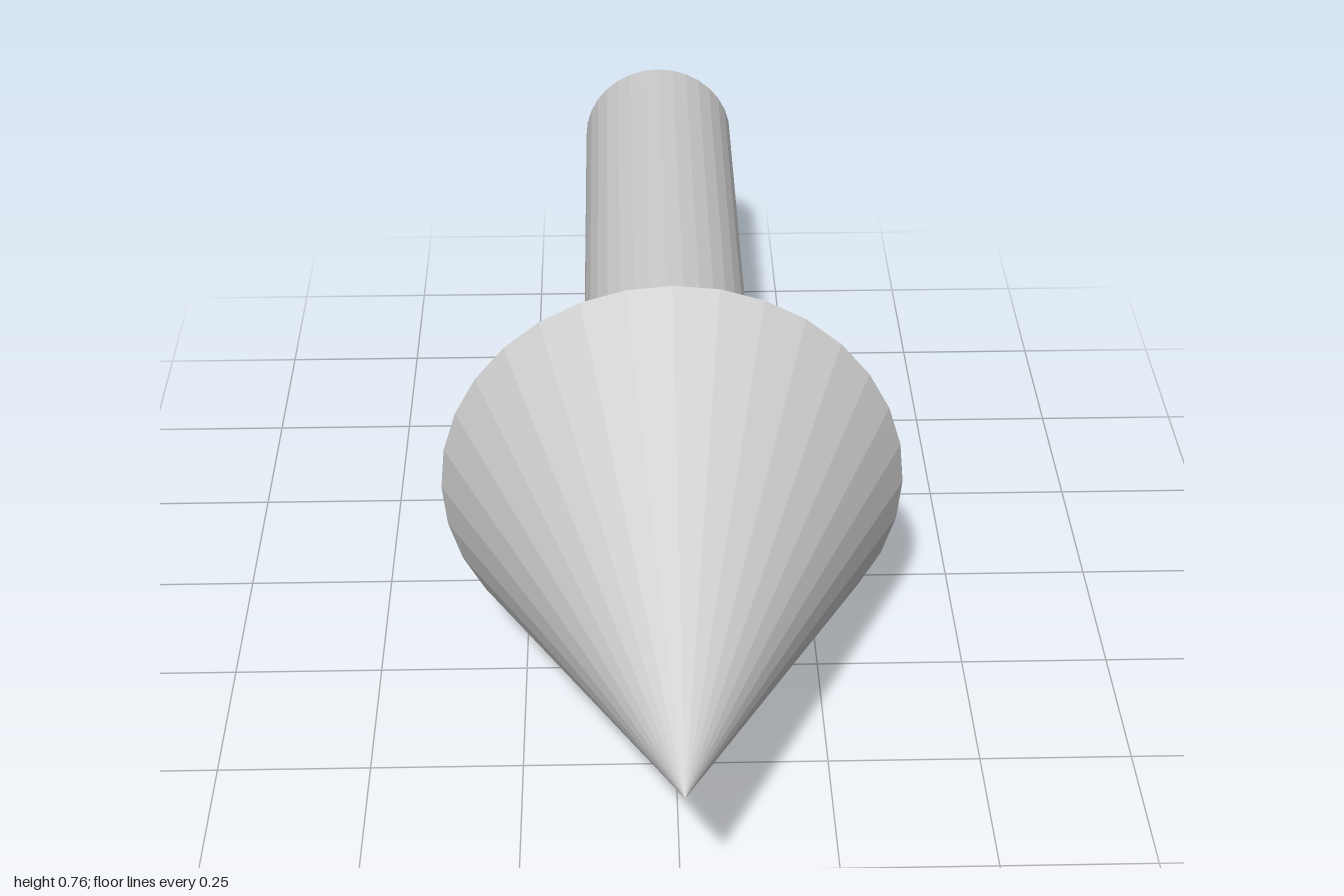
import * as THREE from 'three';

const SIDES = 32;
const HEAD_RADIUS = 0.379;
const SHAFT_RADIUS = 0.147;
const HEAD_BACK = 0.243; // z where the head meets the shaft

export function createModel() {
  const group = new THREE.Group();
  group.name = 'arrow';
  const material = new THREE.MeshStandardMaterial({ color: 0xcccccc, flatShading: true });

  // Places a solid whose axis runs along z, from zBack to zFront
  const addPart = (name, geometry, zBack, zFront) => {
    geometry.rotateX(Math.PI / 2);
    const mesh = new THREE.Mesh(geometry, material);
    mesh.name = name;
    mesh.position.set(0, HEAD_RADIUS, (zBack + zFront) / 2);
    group.add(mesh);
  };

  // Pointed head facing +z
  addPart('arrowHead', new THREE.ConeGeometry(HEAD_RADIUS, 1 - HEAD_BACK, SIDES), HEAD_BACK, 1);

  // Round shaft behind it
  addPart('shaft', new THREE.CylinderGeometry(SHAFT_RADIUS, SHAFT_RADIUS, HEAD_BACK + 1, SIDES), -1, HEAD_BACK);

  return group;
}
